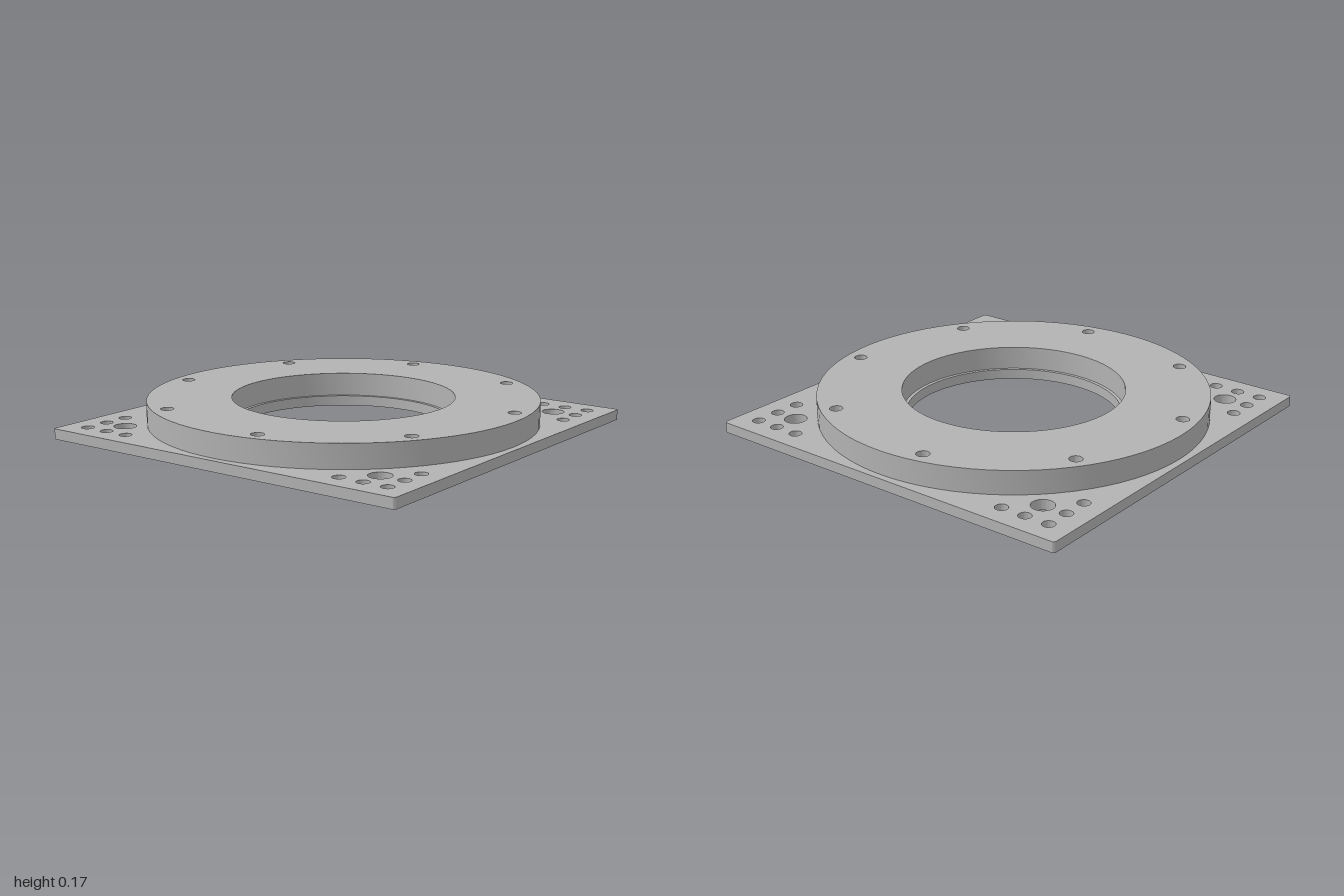
import * as THREE from 'three';
import { toCreasedNormals } from 'three/addons/utils/BufferGeometryUtils.js';

const PLATE_TOP = 0.052, RING_TOP = 0.17;

function addHole(shape, x, z, r) {
  const hole = new THREE.Path();
  hole.absarc(x, -z, r, 0, Math.PI * 2, true);
  shape.holes.push(hole);
}

// Extrude a plan-view shape upward between two heights
function slab(name, shape, bottom, top, material) {
  let geo = new THREE.ExtrudeGeometry(shape, { depth: top - bottom, bevelEnabled: false, curveSegments: 40 });
  geo.rotateX(-Math.PI / 2);
  geo.translate(0, bottom, 0);
  geo = toCreasedNormals(geo, Math.PI / 6);
  const mesh = new THREE.Mesh(geo, material);
  mesh.name = name;
  return mesh;
}

// Eight bolt holes around the ring
function addBoltCircle(shape, r) {
  for (let i = 0; i < 8; i++) {
    const a = (i + 0.75) * Math.PI / 4;
    addHole(shape, 0.888 * Math.cos(a), 0.888 * Math.sin(a), r);
  }
}

export function createModel() {
  const group = new THREE.Group();
  group.name = 'mountingFlange';
  const metal = new THREE.MeshStandardMaterial({ color: 0xb2b2b2 });
  metal.name = 'grey metal';

  // Square base plate with slightly rounded corners
  const plate = new THREE.Shape();
  const c = 0.985, r = 0.015;
  plate.absarc(c, c, r, 0, Math.PI / 2);
  plate.absarc(-c, c, r, Math.PI / 2, Math.PI);
  plate.absarc(-c, -c, r, Math.PI, Math.PI * 1.5);
  plate.absarc(c, -c, r, Math.PI * 1.5, Math.PI * 2);
  plate.closePath();
  addHole(plate, 0, 0, 0.532);
  addBoltCircle(plate, 0.046);

  // Corner hole clusters: an L of five small holes and one large one
  for (const sx of [-1, 1]) for (const sz of [-1, 1]) {
    addHole(plate, sx * 0.757, sz * 0.757, 0.055);
    for (const [x, z] of [[0.883, 0.883], [0.757, 0.883], [0.63, 0.883], [0.883, 0.757], [0.883, 0.63]]) {
      addHole(plate, sx * x, sz * z, 0.031);
    }
  }
  group.add(slab('basePlate', plate, 0, PLATE_TOP, metal));

  // Raised ring, its bore a little wider than the plate's
  const ring = new THREE.Shape();
  ring.absarc(0, 0, 0.966, 0, Math.PI * 2);
  addHole(ring, 0, 0, 0.55);
  addBoltCircle(ring, 0.032);
  group.add(slab('raisedRing', ring, PLATE_TOP, RING_TOP, metal));

  return group;
}
